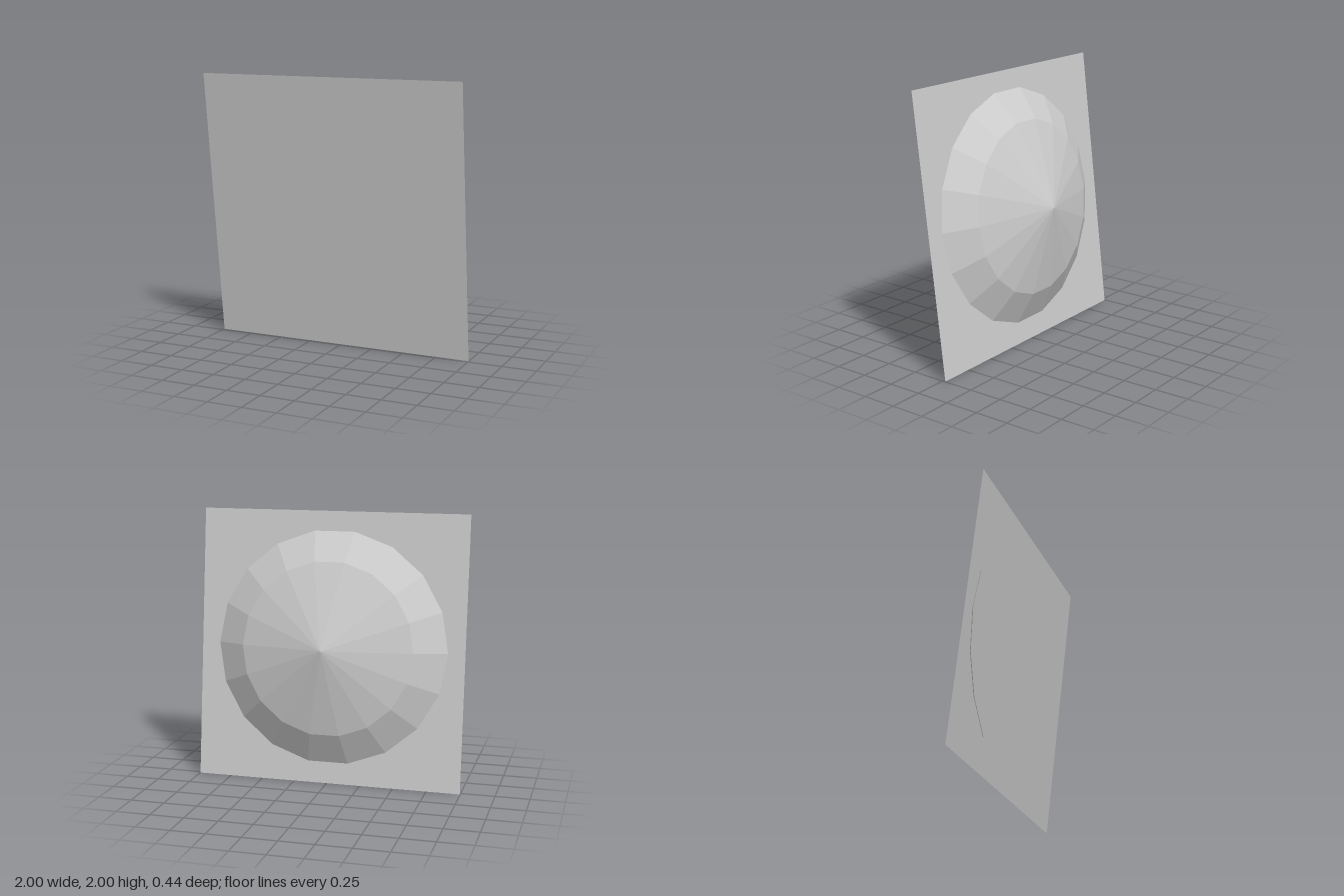
import * as THREE from 'three';

export function createModel() {
  const model = new THREE.Group();
  model.name = 'domedPanel';

  const grey = new THREE.MeshStandardMaterial({ color: 0xcccccc, flatShading: true, side: THREE.DoubleSide });
  grey.name = 'light grey';

  // Everything leans forward slightly at the top
  const tilted = new THREE.Group();
  tilted.name = 'tiltedAssembly';
  tilted.position.set(0, 1, 0.097);
  tilted.rotation.x = Math.atan(0.12);
  model.add(tilted);

  // Flat square sheet
  const panel = new THREE.Mesh(new THREE.PlaneGeometry(1.995, 2.014), grey);
  panel.name = 'panel';
  tilted.add(panel);

  // Shallow 18-sided dome pointing backwards, its closed base just in front of the sheet
  const profile = [[0, 0], [0.894, 0], [0.64, 0.157], [0, 0.338]].map(([r, h]) => new THREE.Vector2(r, h));
  const dome = new THREE.Mesh(new THREE.LatheGeometry(profile, 18, Math.PI / 2), grey);
  dome.name = 'dome';
  dome.rotation.x = -Math.PI / 2;
  dome.position.set(-0.005, 0.007, 0.017);
  tilted.add(dome);

  return model;
}
